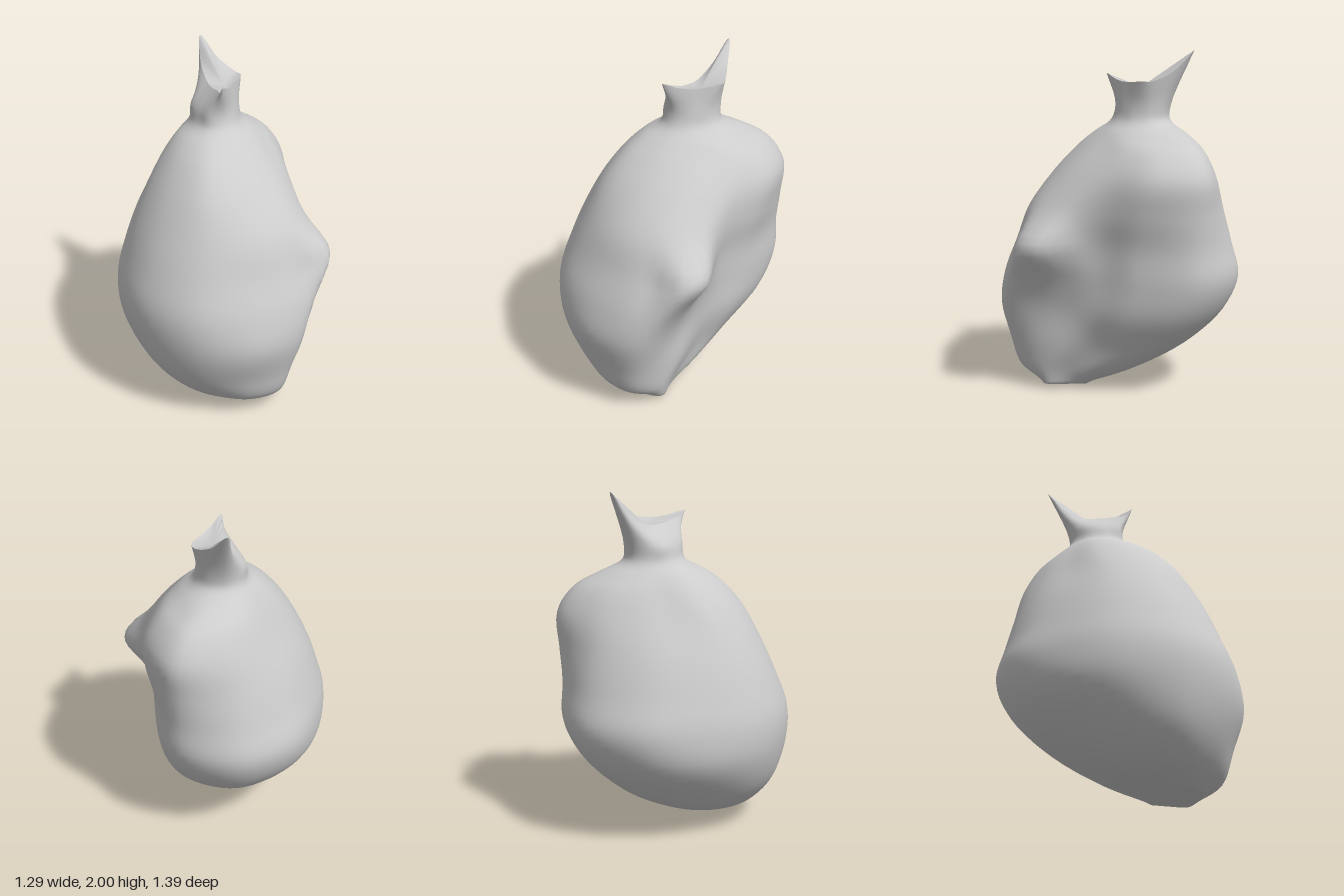
import * as THREE from 'three';

const SIDES = 72, LEVELS = 60;

// Sack cross-sections, bottom to top: height, centre x, centre z
const centres = [
  [0.03, 0.15, 0.2], [0.12, 0.08, 0.2], [0.28, 0, 0.12], [0.5, 0, 0.05],
  [0.7, -0.02, 0], [0.9, -0.02, 0], [1.1, -0.02, -0.03], [1.3, -0.03, -0.1],
  [1.45, -0.05, -0.15], [1.53, -0.07, -0.14], [1.6, -0.08, -0.13], [1.69, -0.085, -0.13],
];
// Radii every 30 degrees, from +x towards the front
const radii = [
  [0.23, 0.2, 0.2, 0.2, 0.2, 0.19, 0.17, 0.16, 0.15, 0.15, 0.15, 0.16],
  [0.33, 0.38, 0.35, 0.32, 0.33, 0.34, 0.35, 0.36, 0.36, 0.34, 0.28, 0.25],
  [0.4, 0.54, 0.52, 0.5, 0.49, 0.47, 0.46, 0.49, 0.53, 0.49, 0.38, 0.32],
  [0.38, 0.62, 0.65, 0.64, 0.62, 0.61, 0.62, 0.66, 0.69, 0.62, 0.45, 0.35],
  [0.43, 0.65, 0.67, 0.685, 0.66, 0.63, 0.62, 0.68, 0.72, 0.66, 0.47, 0.37],
  [0.51, 0.59, 0.59, 0.61, 0.6, 0.58, 0.57, 0.62, 0.68, 0.66, 0.48, 0.39],
  [0.47, 0.53, 0.54, 0.55, 0.54, 0.52, 0.5, 0.54, 0.61, 0.645, 0.51, 0.41],
  [0.37, 0.41, 0.46, 0.51, 0.48, 0.44, 0.39, 0.42, 0.5, 0.585, 0.49, 0.38],
  [0.27, 0.3, 0.36, 0.43, 0.39, 0.34, 0.29, 0.31, 0.37, 0.44, 0.37, 0.3],
  [0.22, 0.23, 0.27, 0.31, 0.28, 0.25, 0.22, 0.23, 0.27, 0.31, 0.26, 0.23],
  [0.15, 0.16, 0.175, 0.18, 0.165, 0.155, 0.155, 0.165, 0.175, 0.18, 0.175, 0.16],
  [0.135, 0.14, 0.155, 0.165, 0.13, 0.125, 0.14, 0.155, 0.175, 0.175, 0.165, 0.145],
];
// Pinched triangular mouth rim, with one corner drawn up to a point
const rim = [
  [0.035, 1.82, -0.12], [0.02, 1.83, -0.03], [0, 1.86, 0.07], [-0.02, 1.82, 0.03],
  [-0.05, 1.81, -0.03], [-0.09, 1.8, -0.09], [-0.14, 1.8, -0.18], [-0.205, 1.87, -0.3],
  [-0.23, 2, -0.405], [-0.12, 1.89, -0.36], [0, 1.83, -0.3], [0.04, 1.83, -0.26],
];

// Knob that pokes out on the left side, trailing into a ridge below
function addKnob(p) {
  if (p.x > 0.2) {
    const dy = p.y - 0.9;
    const rise = dy / (dy > 0 ? 0.15 : 0.22);
    const across = (p.z - 0.08 + Math.min(dy, 0) * 0.4) / 0.15;
    p.x += 0.13 * Math.exp(-(rise ** 2) - across ** 4);
  }
  return p;
}

function sackRings() {
  const rows = radii.map((row, j) => {
    const [y, cx, cz] = centres[j];
    return row.map((r, i) => {
      const a = i * Math.PI / 6;
      return new THREE.Vector3(cx + r * Math.cos(a), y, cz + r * Math.sin(a));
    });
  });
  rows.push(rim.map(p => new THREE.Vector3(...p)));
  const around = rows.map(row => new THREE.CatmullRomCurve3(row, true));
  const rings = Array.from({ length: LEVELS + 1 }, () => []);
  for (let i = 0; i < SIDES; i++) {
    const rib = new THREE.CatmullRomCurve3(around.map(c => c.getPoint(i / SIDES)));
    for (let j = 0; j <= LEVELS; j++) rings[j].push(addKnob(rib.getPoint(j / LEVELS)));
  }
  return rings;
}

function meshFrom(points, index, material, name) {
  const g = new THREE.BufferGeometry().setFromPoints(points);
  g.setIndex(index);
  g.computeVertexNormals();
  const mesh = new THREE.Mesh(g, material);
  mesh.name = name;
  return mesh;
}

export function createModel() {
  const group = new THREE.Group();
  group.name = 'sack';
  const cloth = new THREE.MeshStandardMaterial({ color: 0xcccccc, side: THREE.DoubleSide });
  cloth.name = 'grey cloth';
  const rings = sackRings();

  // Body, neck and rounded base
  const points = rings.flat();
  const base = points.push(new THREE.Vector3(0.15, 0, 0.1)) - 1;
  const index = [];
  for (let i = 0; i < SIDES; i++) {
    const n = (i + 1) % SIDES;
    index.push(base, i, n);
    for (let j = 0; j < LEVELS; j++) {
      const a = j * SIDES, b = a + SIDES;
      index.push(a + i, b + i, a + n, a + n, b + i, b + n);
    }
  }
  group.add(meshFrom(points, index, cloth, 'body'));

  // Shallow hollow closing the mouth
  const mouth = [...rings[LEVELS], new THREE.Vector3(-0.04, 1.79, -0.17)];
  const fan = [];
  for (let i = 0; i < SIDES; i++) fan.push(SIDES, (i + 1) % SIDES, i);
  group.add(meshFrom(mouth, fan, cloth, 'mouth'));
  return group;
}
